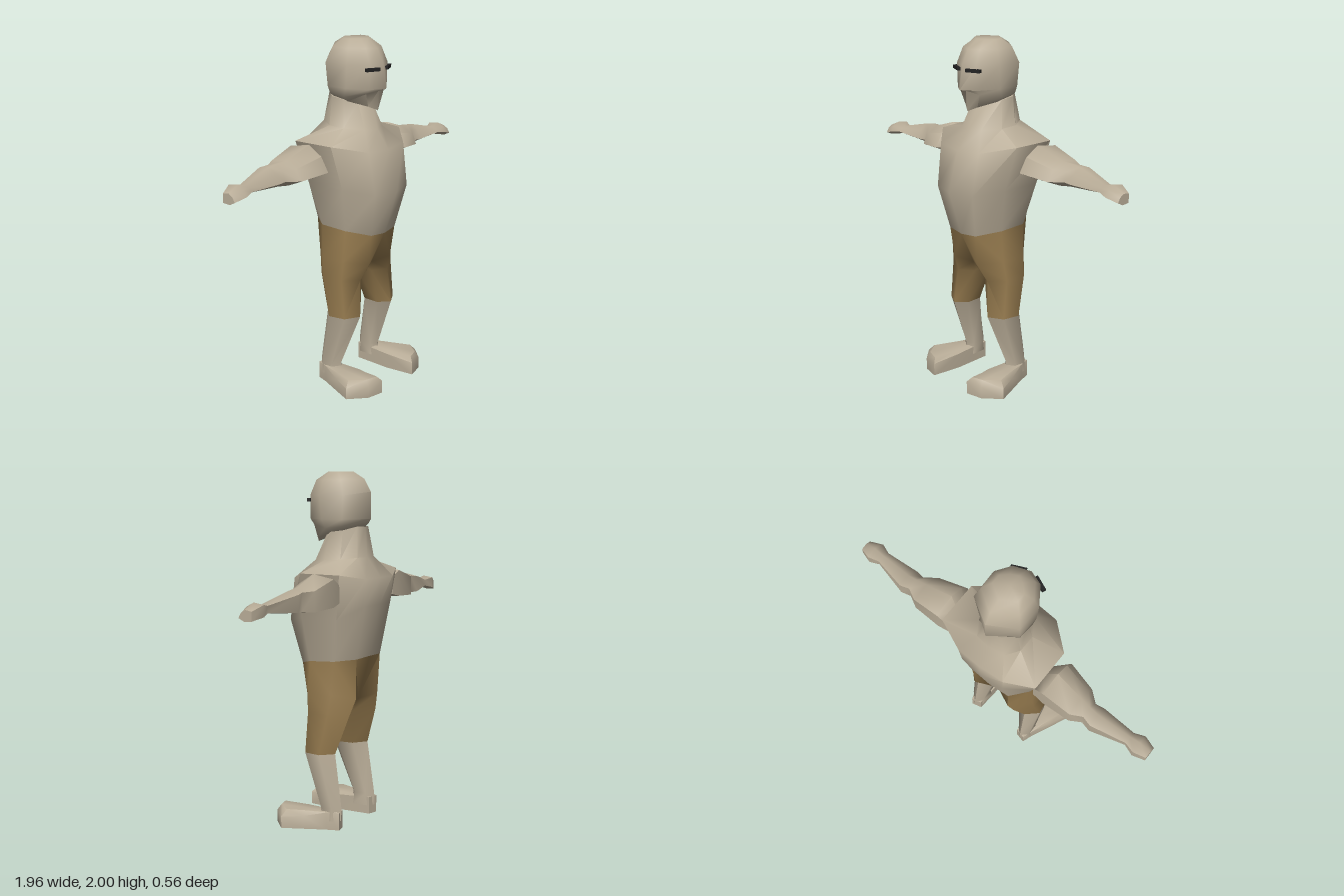
import * as THREE from 'three';
import { toCreasedNormals } from 'three/addons/utils/BufferGeometryUtils.js';

const skin = new THREE.MeshStandardMaterial({ color: 0xb9ad98 });
const cloth = new THREE.MeshStandardMaterial({ color: 0x957a4e });
const dark = new THREE.MeshStandardMaterial({ color: 0x222222 });

// Closed solid through equal-length rings of [x, y, z], capped at both ends
function loft(name, rings, material, crease = 1.1) {
  const n = rings[0].length, pos = rings.flat(2), index = [];
  for (let r = 0; r < rings.length - 1; r++) {
    for (let i = 0; i < n; i++) {
      const a = r * n + i, b = r * n + (i + 1) % n;
      index.push(a, b, b + n, a, b + n, a + n);
    }
  }
  [0, rings.length - 1].forEach((r, end) => {
    const c = pos.length / 3;
    for (let k = 0; k < 3; k++) pos.push(rings[r].reduce((s, p) => s + p[k], 0) / n);
    for (let i = 0; i < n; i++) {
      const a = r * n + i, b = r * n + (i + 1) % n;
      index.push(c, ...(end ? [a, b] : [b, a]));
    }
  });
  // Turn the faces outward if the signed volume is negative
  const v = (i) => new THREE.Vector3().fromArray(pos, index[i] * 3);
  let volume = 0;
  for (let i = 0; i < index.length; i += 3) volume += v(i).dot(v(i + 1).cross(v(i + 2)));
  if (volume < 0) index.reverse();
  let geo = new THREE.BufferGeometry();
  geo.setAttribute('position', new THREE.Float32BufferAttribute(pos, 3));
  geo.setIndex(index);
  geo = toCreasedNormals(geo, crease);
  // Keep shading continuous across the centre line
  const p = geo.attributes.position, nor = geo.attributes.normal;
  for (let i = 0; i < p.count; i++) {
    const l = Math.hypot(nor.getY(i), nor.getZ(i));
    if (Math.abs(p.getX(i)) < 1e-5 && l > 0.05) nor.setXYZ(i, 0, nor.getY(i) / l, nor.getZ(i) / l);
  }
  const mesh = new THREE.Mesh(geo, material);
  mesh.name = name;
  return mesh;
}

// Complete a half ring (front centre to back centre) by mirroring in x
const whole = (half) => [...half, ...half.slice(1, -1).reverse().map(([x, y, z]) => [-x, y, z])];

const waist = [[0, .91, .18], [.11, .92, .17], [.205, .95, .06], [.21, .96, -.1], [.13, .97, -.2], [0, .975, -.21]];

const torso = [
  waist,
  [[0, 1.17, .265], [.15, 1.17, .225], [.255, 1.2, .08], [.26, 1.2, -.15], [.14, 1.27, -.26], [0, 1.27, -.272]],
  [[0, 1.4, .205], [.16, 1.41, .19], [.315, 1.45, .05], [.315, 1.45, -.2], [.15, 1.42, -.27], [0, 1.42, -.278]],
  [[0, 1.5, .13], [.08, 1.51, .1], [.14, 1.515, 0], [.14, 1.52, -.1], [.09, 1.53, -.18], [0, 1.53, -.19]],
  [[0, 1.64, .05], [.06, 1.65, .04], [.115, 1.67, -.02], [.115, 1.68, -.1], [.06, 1.7, -.16], [0, 1.7, -.175]],
];

const head = [
  [[0, 1.61, .13], [.05, 1.635, .1], [.1, 1.66, 0], [.1, 1.68, -.1], [0, 1.69, -.17]],
  [[0, 1.725, .138], [.08, 1.71, .11], [.138, 1.69, 0], [.133, 1.7, -.1], [0, 1.72, -.2]],
  [[0, 1.735, .185], [.08, 1.735, .13], [.145, 1.74, .02], [.14, 1.74, -.11], [0, 1.74, -.212]],
  [[0, 1.87, .165], [.08, 1.87, .135], [.15, 1.87, .03], [.145, 1.87, -.12], [0, 1.89, -.212]],
  [[0, 1.95, .125], [.07, 1.955, .1], [.125, 1.955, .02], [.12, 1.955, -.09], [0, 1.96, -.17]],
  [[0, 2, .06], [.04, 2, .04], [.08, 2, 0], [.08, 2, -.05], [0, 2, -.1]],
];

const hem = [[.09, .43, .06], [.15, .43, .118], [.235, .43, .07], [.25, .43, -.03], [.18, .43, -.095], [.1, .43, -.04]];

const shortsLeg = [
  waist,
  [[0, .72, .09], [.1, .74, .147], [.225, .77, .06], [.225, .77, -.09], [.12, .74, -.19], [0, .72, -.13]],
  [[.045, .64, .05], [.13, .64, .102], [.236, .66, .05], [.238, .66, -.08], [.15, .64, -.165], [.045, .64, -.08]],
  hem,
];

const shin = [
  hem,
  [[.145, .12, -.03], [.18, .12, 0], [.225, .12, -.03], [.228, .12, -.1], [.185, .12, -.14], [.145, .12, -.1]],
  [[.14, .05, -.02], [.18, .05, .01], [.23, .05, -.03], [.23, .05, -.1], [.19, .05, -.14], [.145, .05, -.11]],
];

// Sole outline [x, z, height of the upper edge], toes turned outward
const sole = [[.15, -.125, .1], [.21, -.14, .1], [.235, -.07, .1], [.29, .05, .075], [.342, .165, .065],
  [.25, .255, .07], [.15, .277, .075], [.135, .1, .09]];
const foot = [
  sole.map(([x, z]) => [x, 0, z]),
  sole.map(([x, z, h]) => [x, h, z]),
  sole.map(([x, z]) => [.22 + (x - .22) * .7, .103, .03 + (z - .03) * .9]),
];

// Arm stations: x, top, bottom, front z, back z
const arm = [
  [.295, 1.41, 1.29, 0, -.19], [.36, 1.455, 1.27, .068, -.195], [.53, 1.4, 1.265, .025, -.185],
  [.595, 1.395, 1.272, -.03, -.15], [.65, 1.388, 1.275, -.022, -.165], [.85, 1.34, 1.295, -.035, -.115],
  [.91, 1.355, 1.28, -.01, -.135], [.98, 1.325, 1.265, -.03, -.11],
].map(([x, top, bottom, front, back]) =>
  [[1, .28], [.82, .72], [.5, 1], [0, .88], [0, .06], [.55, 0]].map(([u, v]) =>
    [x, bottom + (top - bottom) * v, back + (front - back) * u]));

export function createModel() {
  const model = new THREE.Group();
  model.name = 'figure';
  model.add(loft('torso', torso.map(whole), skin), loft('head', head.map(whole), skin, 1.2));

  for (const [side, s] of [['left', 1], ['right', -1]]) {
    // Legs stand a touch towards the left
    const flip = (rings) => rings.map((r) => r.map(([x, y, z]) => [s * x + (y < .7 ? .006 : 0), y, z]));
    const part = (name, rings, material, crease) => model.add(loft(side + name, flip(rings), material, crease));
    part('ShortsLeg', shortsLeg, cloth, 1.2);
    part('Shin', shin, skin);
    part('Foot', foot, skin, .9);
    model.add(loft(side + 'Arm', arm.map((r) => r.map(([x, y, z]) => [s * x, y, z])), skin));

    // Narrow eye slit
    const eye = new THREE.Mesh(new THREE.BoxGeometry(.085, .018, .022), dark);
    eye.name = side + 'Eye';
    eye.position.set(s * .068, 1.845, .145);
    eye.rotation.y = s * .42;
    model.add(eye);
  }
  return model;
}
